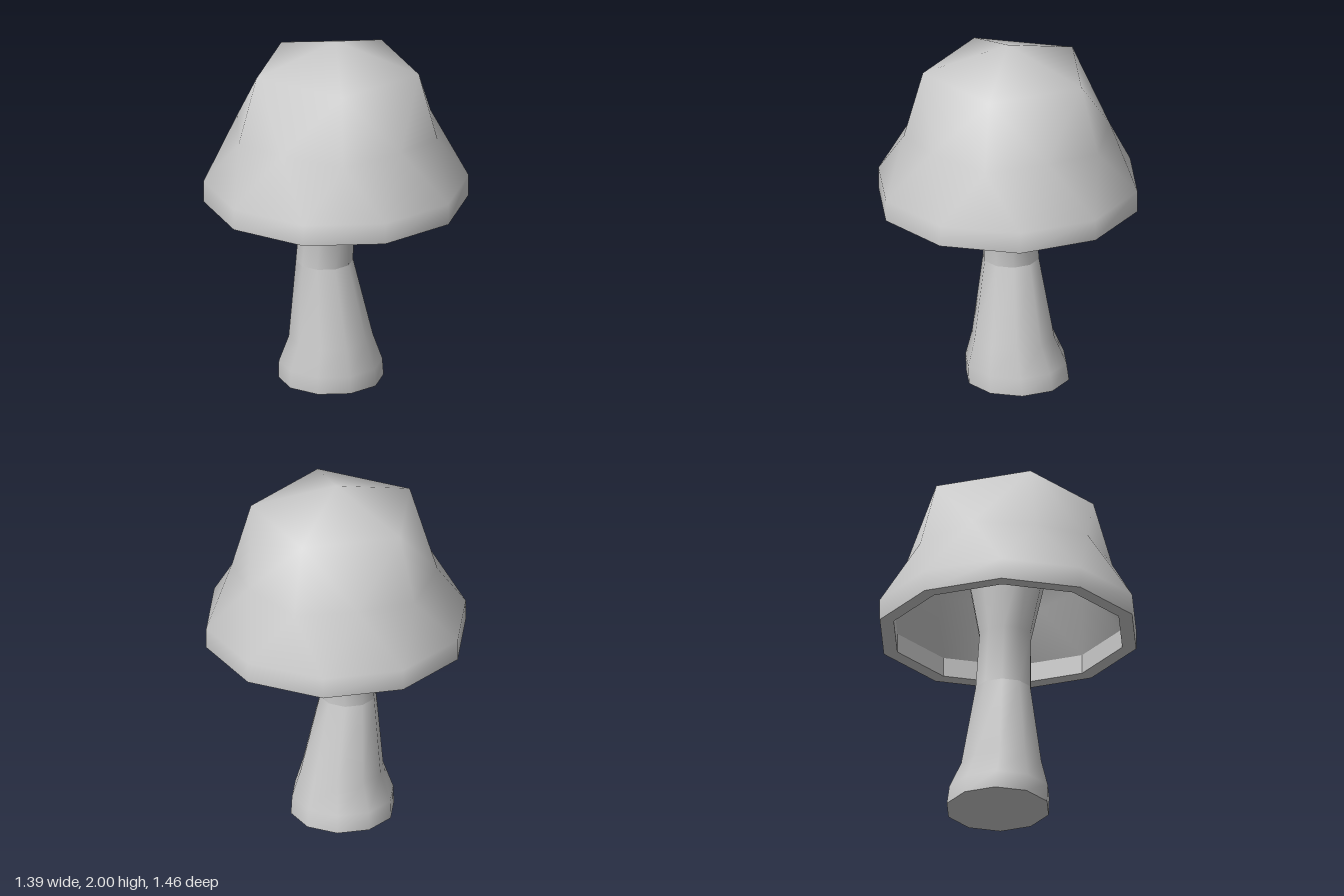
import * as THREE from 'three';

const material = new THREE.MeshStandardMaterial({ color: 0xcccccc });
const flatMaterial = new THREE.MeshStandardMaterial({ color: 0xcccccc, flatShading: true });
const SIDES = 10;

function mesh(name, positions, index, mat = material) {
  const g = new THREE.BufferGeometry();
  g.setAttribute('position', new THREE.Float32BufferAttribute(positions, 3));
  g.setIndex(index);
  g.computeVertexNormals();
  const m = new THREE.Mesh(g, mat);
  m.name = name;
  return m;
}

// One point at a polar angle in degrees, counterclockwise seen from above
function polar(r, y, degrees, cx = 0, cz = 0) {
  const a = THREE.MathUtils.degToRad(degrees);
  return [cx + r * Math.cos(a), y, cz - r * Math.sin(a)];
}

// Ten-sided skin through rings of [y, radius, centreX, centreZ]
function loft(name, rings, mat) {
  const positions = [], index = [];
  rings.forEach(([y, r, cx, cz], j) => {
    for (let i = 0; i < SIDES; i++) {
      positions.push(...polar(r, y, 18 + 36 * i, cx, cz));
      if (j === 0) continue;
      const n = (i + 1) % SIDES, a = (j - 1) * SIDES, b = j * SIDES;
      index.push(a + i, a + n, b + n, a + i, b + n, b + i);
    }
  });
  return mesh(name, positions, index, mat);
}

// Half of a subdivided icosahedron: top, ring of 5, ring of 10, rim of 10,
// and an optional straight skirt below the rim
function dome(name, { topY, upper, even, odd, rim, skirtY }, inward = false) {
  const positions = [0, topY, 0], index = [];
  for (let i = 0; i < 5; i++) positions.push(...polar(...upper, 72 * i));
  for (let i = 0; i < SIDES; i++) positions.push(...polar(...(i % 2 ? odd : even), 36 * i));
  for (let i = 0; i < SIDES; i++) positions.push(...polar(...rim, 18 + 36 * i));
  const U = (i) => 1 + (i % 5), M = (i) => 6 + (i % SIDES), R = (i) => 16 + (i % SIDES);
  for (let i = 0; i < 5; i++) {
    const m = 2 * i;
    index.push(0, U(i), U(i + 1));
    index.push(U(i), M(m), M(m + 1), U(i), M(m + 1), U(i + 1), U(i + 1), M(m + 1), M(m + 2));
  }
  for (let i = 0; i < SIDES; i++) {
    index.push(M(i), R(i), M(i + 1), M(i + 1), R(i), R(i + 1));
  }
  if (skirtY !== undefined) {
    const S = (i) => 26 + (i % SIDES);
    for (let i = 0; i < SIDES; i++) {
      positions.push(...polar(rim[0], skirtY, 18 + 36 * i));
      index.push(S(i), S(i + 1), R(i + 1), S(i), R(i + 1), R(i));
    }
  }
  if (inward) index.reverse();
  return mesh(name, positions, index);
}

export function createModel() {
  const model = new THREE.Group();
  model.name = 'mushroom';

  // Cap: outer skin, hollow underside and the thick rim joining them
  const cap = new THREE.Group();
  cap.name = 'cap';
  cap.add(
    dome('capOuter', {
      topY: 2, upper: [0.47, 1.85], even: [0.575, 1.475], odd: [0.56, 1.51],
      rim: [0.73, 1.19], skirtY: 1.07,
    }),
    dome('capInner', {
      topY: 1.91, upper: [0.41, 1.79], even: [0.5, 1.44], odd: [0.485, 1.47], rim: [0.65, 1.18],
    }, true),
    loft('capRimInside', [[1.18, 0.65, 0, 0], [1.07, 0.65, 0, 0]], flatMaterial),
    loft('capRimUnderside', [[1.07, 0.65, 0, 0], [1.07, 0.73, 0, 0]], flatMaterial),
  );

  // Stem: leaning, wide at the foot, flaring again inside the cap
  const foot = [0, 0.29, -0.04, -0.045];
  const waist = [0.7, 0.158, -0.066, -0.002];
  const stem = new THREE.Group();
  stem.name = 'stem';
  stem.add(
    loft('stemBase', [[0, 0, -0.04, -0.045], foot], flatMaterial),
    loft('stemLower', [foot, [0.1, 0.285, -0.04, -0.036], [0.25, 0.232, -0.035, -0.022], waist]),
    loft('stemUpper', [waist, [1.03, 0.147, -0.048, 0.002], [1.8, 0.3, 0, 0]]),
  );

  model.add(cap, stem);
  return model;
}
